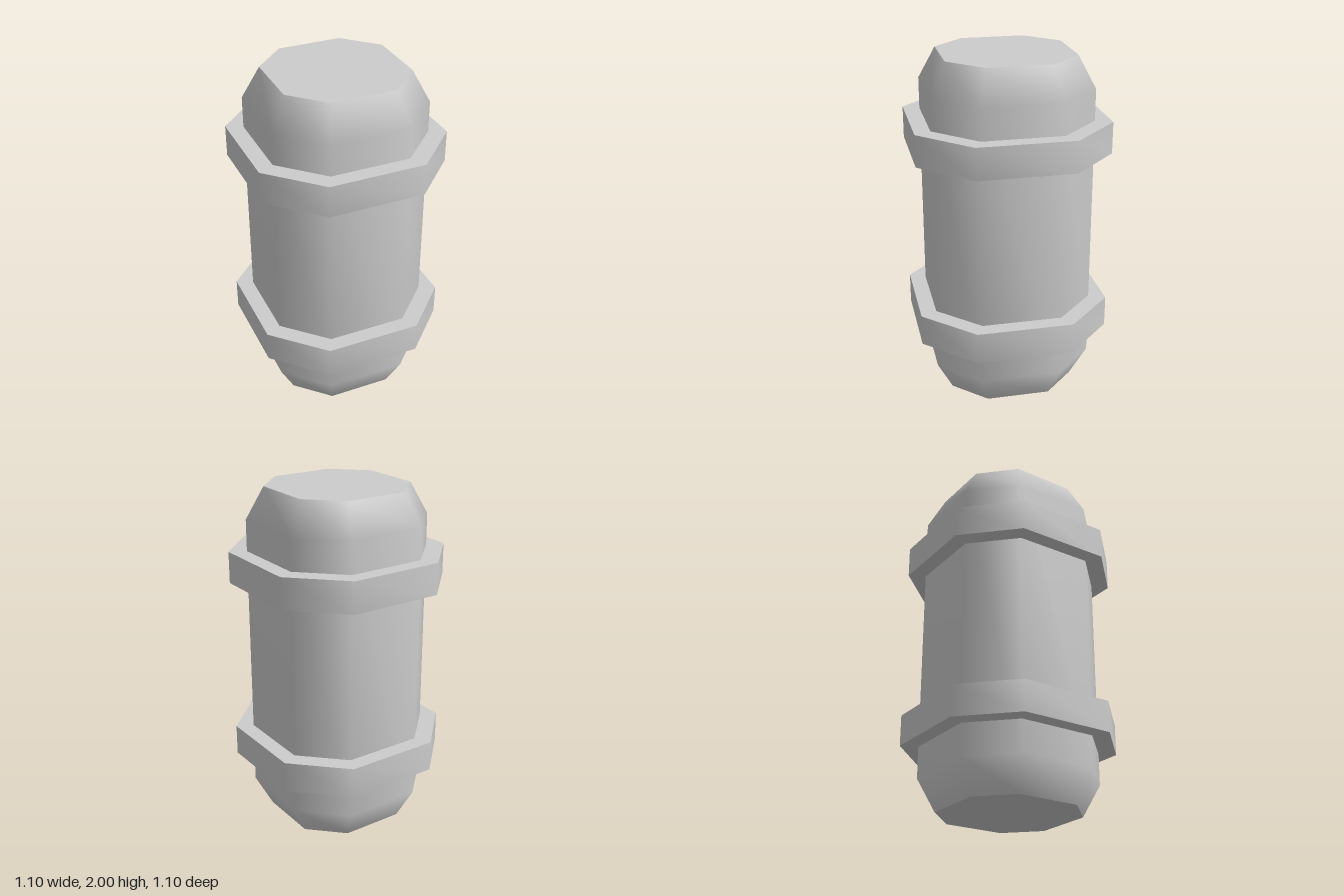
import * as THREE from 'three';

// Octagon corners (x, z) for a half-width of 1
const CORNERS = [[1, 0.5], [0.5, 1], [-0.5, 1], [-1, 0.5], [-1, -0.5], [-0.5, -1], [0.5, -1], [1, -0.5]];

// Smooth octagonal skin through a profile of [halfWidth, y], listed bottom to top on the outside
function loft(profile) {
  const positions = [], index = [], n = CORNERS.length;
  for (const [r, y] of profile) for (const [x, z] of CORNERS) positions.push(x * r, y, z * r);
  for (let k = 0; k < profile.length - 1; k++) {
    for (let i = 0; i < n; i++) {
      const a = k * n + i, b = k * n + (i + 1) % n;
      if (profile[k + 1][0] > 0) index.push(a, a + n, b + n);
      if (profile[k][0] > 0) index.push(a, profile[k + 1][0] > 0 ? b + n : a + n, b);
    }
  }
  const geometry = new THREE.BufferGeometry();
  geometry.setAttribute('position', new THREE.Float32BufferAttribute(positions, 3));
  geometry.setIndex(index);
  geometry.computeVertexNormals();
  return geometry;
}

export function createModel() {
  const model = new THREE.Group();
  model.name = 'bandedCanister';
  const grey = new THREE.MeshStandardMaterial({ color: 0xcccccc });
  grey.name = 'grey';

  const add = (parent, name, profile) => {
    const mesh = new THREE.Mesh(loft(profile), grey);
    mesh.name = name;
    parent.add(mesh);
  };

  // Body with tapered ends and flat caps
  add(model, 'bodySide', [[0.366, 0], [0.458, 0.185], [0.458, 1.817], [0.366, 2]]);
  add(model, 'bottomCap', [[0, 0], [0.366, 0]]);
  add(model, 'topCap', [[0.366, 2], [0, 2]]);

  // Two raised bands, each with a smooth rim and flat ledges
  for (const [name, y0, y1] of [['lowerBand', 0.37, 0.55], ['upperBand', 1.455, 1.637]]) {
    const band = new THREE.Group();
    band.name = name;
    add(band, name + 'Rim', [[0.55, y0], [0.55, y1]]);
    add(band, name + 'Underside', [[0.45, y0], [0.55, y0]]);
    add(band, name + 'Ledge', [[0.55, y1], [0.45, y1]]);
    model.add(band);
  }
  return model;
}
